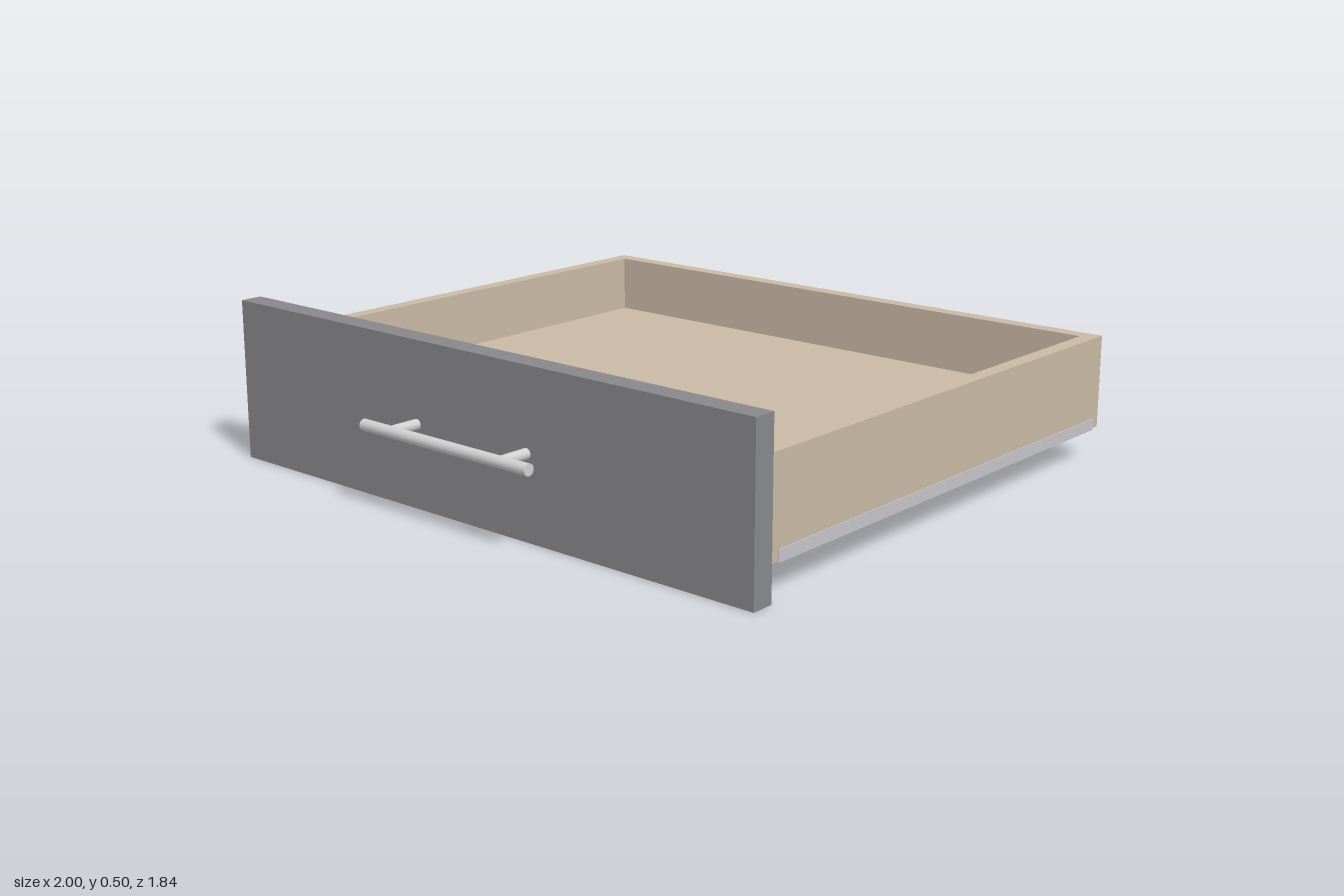
import * as THREE from 'three';

export function createModel() {
  const model = new THREE.Group();
  model.name = 'drawer';

  const material = (name, color) => {
    const m = new THREE.MeshStandardMaterial({ color });
    m.name = name;
    return m;
  };
  const grey = material('front grey', 0x87888c);
  const wood = material('pale wood', 0xc8b9a5);
  const railMetal = material('rail metal', 0xc4c5c9);
  const handleMetal = material('handle metal', 0xd0d0d0);

  // Box given by its lower and upper limits on each axis
  const box = (name, mat, [x0, x1], [y0, y1], [z0, z1], parent = model) => {
    const mesh = new THREE.Mesh(new THREE.BoxGeometry(x1 - x0, y1 - y0, z1 - z0), mat);
    mesh.position.set((x0 + x1) / 2, (y0 + y1) / 2, (z0 + z1) / 2);
    mesh.name = name;
    parent.add(mesh);
    return mesh;
  };
  const mirrored = (side, a, b) => (side > 0 ? [a, b] : [-b, -a]);

  // Front panel
  box('frontPanel', grey, [-1, 1], [0, 0.5], [0.732, 0.803]);

  // Open tray: floor and end walls sit higher than the side walls
  const tray = new THREE.Group();
  tray.name = 'tray';
  model.add(tray);
  const inner = 0.94, outer = 0.988, back = -0.921, front = 0.724;
  box('floor', wood, [-inner, inner], [0.137, 0.205], [-0.871, 0.667], tray);
  box('backWall', wood, [-inner, inner], [0.137, 0.39], [back, -0.871], tray);
  box('innerFrontWall', wood, [-inner, inner], [0.137, 0.39], [0.667, front], tray);

  for (const side of [1, -1]) {
    const label = side > 0 ? 'left' : 'right';
    box(label + 'SideWall', wood, mirrored(side, inner, outer), [0.101, 0.39], [back, front], tray);
    // Runner wrapped around the lower edge of the side wall
    box(label + 'Rail', railMetal, mirrored(side, 0.936, 0.991), [0.097, 0.133], [-0.891, 0.692]);
  }

  // Bar handle on two posts
  const handle = new THREE.Group();
  handle.name = 'handle';
  handle.position.set(0, 0.253, 0.903);
  model.add(handle);
  const bar = new THREE.Mesh(new THREE.CylinderGeometry(0.0175, 0.0175, 0.656, 32), handleMetal);
  bar.rotation.z = Math.PI / 2;
  bar.name = 'handleBar';
  handle.add(bar);
  for (const side of [1, -1]) {
    const post = new THREE.Mesh(new THREE.CylinderGeometry(0.016, 0.016, 0.1, 32), handleMetal);
    post.rotation.x = Math.PI / 2;
    post.position.set(side * 0.218, 0, -0.05);
    post.name = side > 0 ? 'leftHandlePost' : 'rightHandlePost';
    handle.add(post);
  }

  return model;
}
